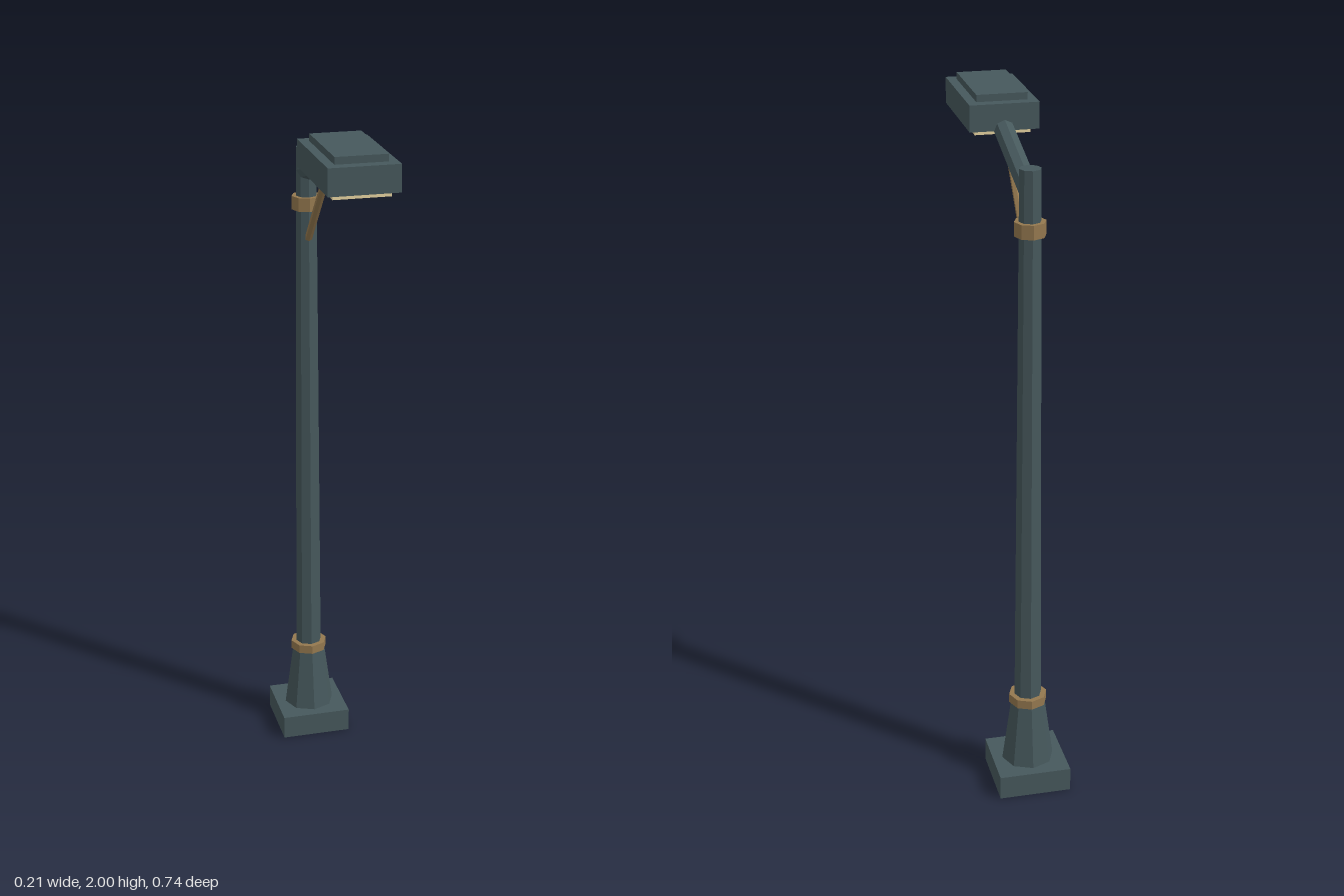
import * as THREE from 'three';

const paint = (color) => new THREE.MeshStandardMaterial({ color, flatShading: true });

export function createModel() {
  const model = new THREE.Group();
  const iron = paint(0x46585c);
  const bronze = paint(0x94784f);
  const glass = paint(0xe6d3a0);
  const poleZ = -0.265;
  const headZ = 0.203;

  function add(name, geometry, material, x, y, z) {
    const mesh = new THREE.Mesh(geometry, material);
    mesh.name = name;
    mesh.position.set(x, y, z);
    model.add(mesh);
    return mesh;
  }

  // Box resting on y0 and reaching y1
  const box = (name, w, d, y0, y1, z, material) =>
    add(name, new THREE.BoxGeometry(w, y1 - y0, d), material, 0, (y0 + y1) / 2, z);

  // Octagonal upright section centred on the pole
  const section = (name, rBottom, rTop, y0, y1, material) =>
    add(name, new THREE.CylinderGeometry(rTop, rBottom, y1 - y0, 8), material, 0, (y0 + y1) / 2, poleZ);

  // Sloping bar in the x = 0 plane, between two (y, z) points
  function bar(name, radius, sides, [y0, z0], [y1, z1], material) {
    const length = Math.hypot(y1 - y0, z1 - z0);
    const geometry = new THREE.CylinderGeometry(radius, radius, length, sides);
    const mesh = add(name, geometry, material, 0, (y0 + y1) / 2, (z0 + z1) / 2);
    mesh.rotation.x = Math.atan2(z1 - z0, y1 - y0);
  }

  // Foot and pole
  box('basePlinth', 0.212, 0.212, 0, 0.072, poleZ, iron);
  section('baseTaper', 0.077, 0.05, 0.072, 0.27, iron);
  section('lowerCollar', 0.056, 0.056, 0.263, 0.29, bronze);
  section('pole', 0.04, 0.03, 0.27, 1.885, iron);
  section('upperCollar', 0.044, 0.044, 1.702, 1.742, bronze);

  // Arm and its brace
  bar('arm', 0.03, 8, [1.818, -0.262], [1.915, 0.075], iron);
  bar('brace', 0.011, 6, [1.61, -0.25], [1.89, 0.003], bronze);

  // Lamp head
  box('lampHousing', 0.196, 0.335, 1.905, 1.98, headZ, iron);
  box('lampLid', 0.144, 0.27, 1.98, 2.0, headZ, iron);
  box('lampLens', 0.158, 0.285, 1.89, 1.905, headZ, glass);

  return model;
}
